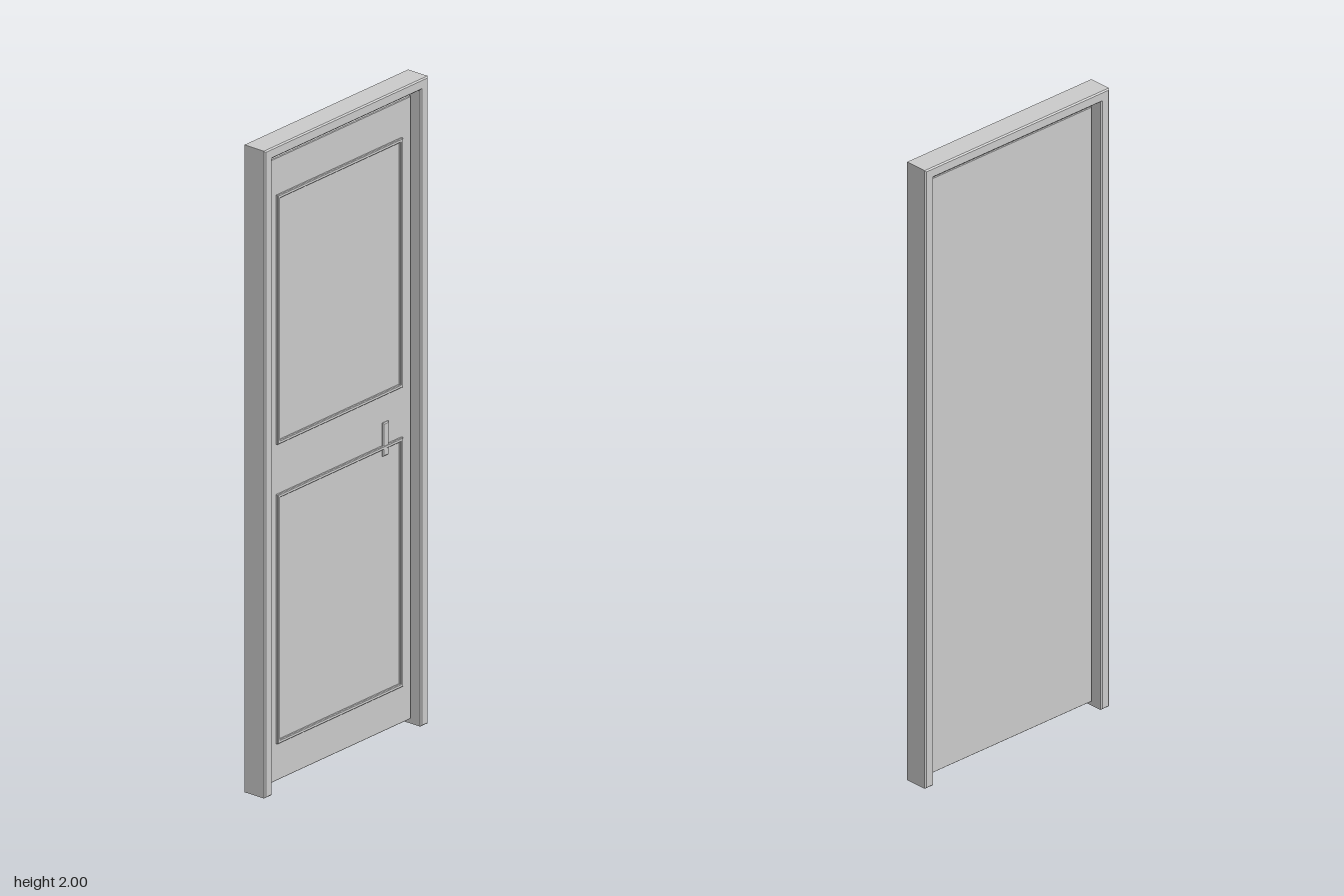
import * as THREE from 'three';

const material = new THREE.MeshStandardMaterial({ color: 0xcccccc });

// Closed outline from a list of corners
const outline = (pts) => new THREE.Shape(pts.map(([x, y]) => new THREE.Vector2(x, y)));
const rect = (x0, y0, x1, y1) => [[x0, y0], [x1, y0], [x1, y1], [x0, y1]];

// Extrude with a small chamfer that keeps the outer size; spans z0..z1
function slab(name, shape, z0, z1, bevel) {
  const geometry = new THREE.ExtrudeGeometry(shape, {
    depth: z1 - z0 - 2 * bevel,
    bevelEnabled: true,
    bevelThickness: bevel,
    bevelSize: bevel,
    bevelOffset: -bevel,
    bevelSegments: 1,
  });
  geometry.translate(0, 0, z0 + bevel);
  const mesh = new THREE.Mesh(geometry, material);
  mesh.name = name;
  return mesh;
}

export function createModel() {
  const door = new THREE.Group();
  door.name = 'door';

  // Surround: two jambs and a header in one piece, open at the floor
  const w = 0.36, inner = 0.327, head = 1.967;
  door.add(slab('doorFrame', outline([
    [-w, 0], [-inner, 0], [-inner, head], [inner, head],
    [inner, 0], [w, 0], [w, 2], [-w, 2],
  ]), -0.04, 0.04, 0.004));

  // Leaf, set back from both faces of the surround, with a gap all round
  const face = 0.01;
  door.add(slab('doorLeaf', outline(rect(-0.318, 0.02, 0.318, 1.945)), -0.01, face, 0.002));

  // Raised moulding around the upper and lower panels, front only
  const t = 0.011;
  for (const [name, y0, y1] of [['lowerMoulding', 0.135, 0.905], ['upperMoulding', 1.06, 1.83]]) {
    const ring = outline(rect(-0.276, y0, 0.276, y1));
    ring.holes.push(outline(rect(-0.276 + t, y0 + t, 0.276 - t, y1 - t)));
    door.add(slab(name, ring, face - 0.004, face + 0.007, 0.002));
  }

  // Upright handle on the model's left
  door.add(slab('handle', outline(rect(0.19, 0.872, 0.215, 0.975)), face - 0.004, face + 0.006, 0.003));

  return door;
}
